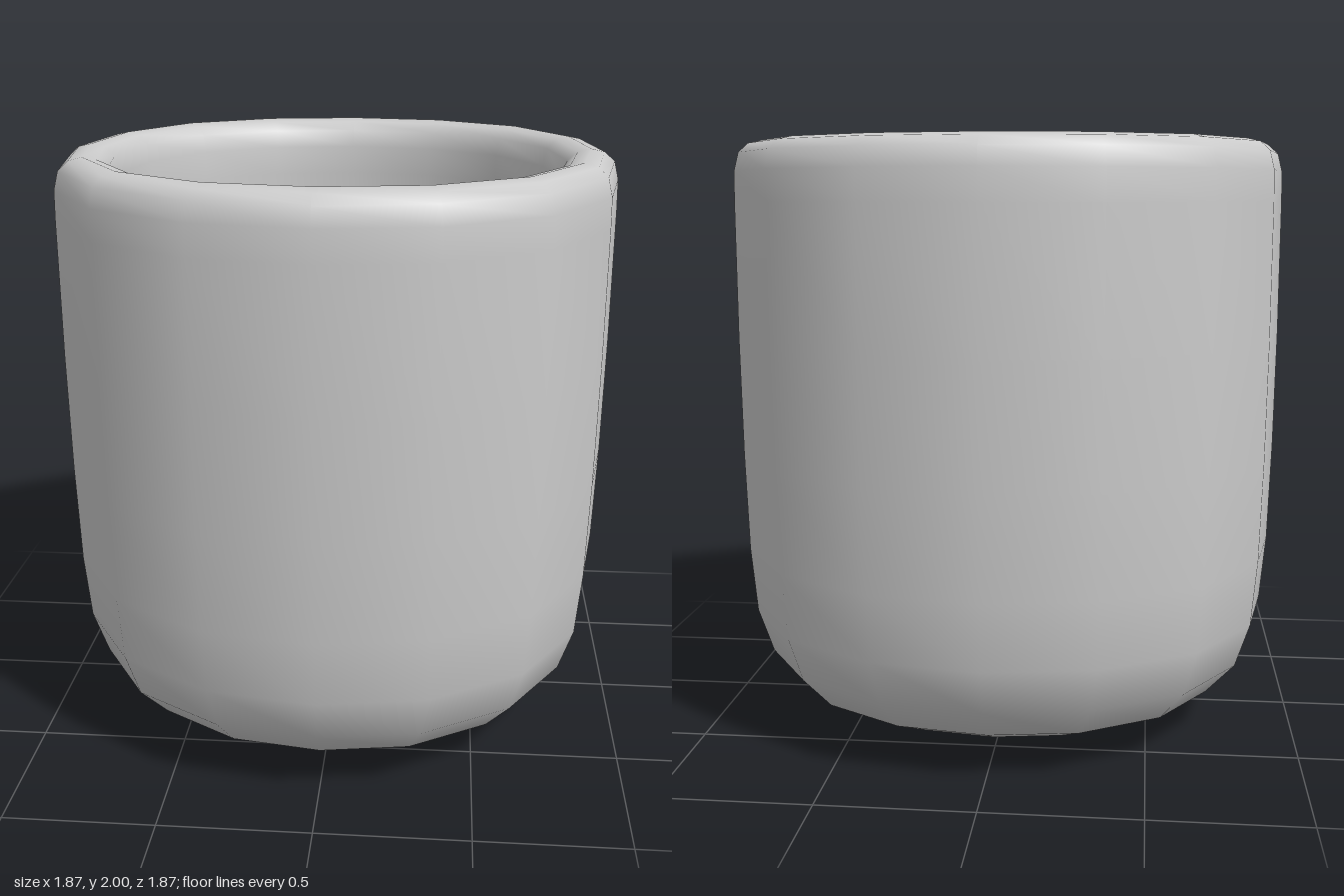
import * as THREE from 'three';
import { mergeVertices } from 'three/addons/utils/BufferGeometryUtils.js';

// radius, height: from the outside centre of the base, over the rim, to the inner floor
const PROFILE = [
  [0, 0], [0.31, 0.02], [0.57, 0.06], [0.75, 0.14], [0.85, 0.25], [0.9, 0.4],
  [0.92, 0.62], [0.93, 0.95], [0.935, 1.35], [0.935, 1.8], [0.933, 1.9], [0.918, 1.96], [0.885, 1.99],
  [0.84, 2], [0.795, 1.99], [0.762, 1.96], [0.748, 1.9], [0.745, 1.8],
  [0.745, 1.35], [0.74, 0.95], [0.725, 0.65], [0.7, 0.48], [0.65, 0.36],
  [0.57, 0.28], [0.44, 0.22], [0.24, 0.19], [0, 0.18],
];

export function createModel() {
  const group = new THREE.Group();
  group.name = 'cup';

  const lathe = new THREE.LatheGeometry(PROFILE.map(([r, y]) => new THREE.Vector2(r, y)), 16);

  // swell the diagonals a little so the plan is a softly squared circle
  const pos = lathe.attributes.position;
  for (let i = 0; i < pos.count; i++) {
    const x = pos.getX(i), z = pos.getZ(i);
    const swell = 1 + 0.03 * Math.sin(2 * Math.atan2(z, x)) ** 2;
    pos.setXYZ(i, x * swell, pos.getY(i), z * swell);
  }

  // weld the seam and the centres for continuous smooth shading
  lathe.deleteAttribute('normal');
  lathe.deleteAttribute('uv');
  const geometry = mergeVertices(lathe, 1e-4);
  geometry.computeVertexNormals();

  const body = new THREE.Mesh(geometry, new THREE.MeshStandardMaterial({ color: 0xcccccc }));
  body.name = 'cupBody';
  group.add(body);
  return group;
}
